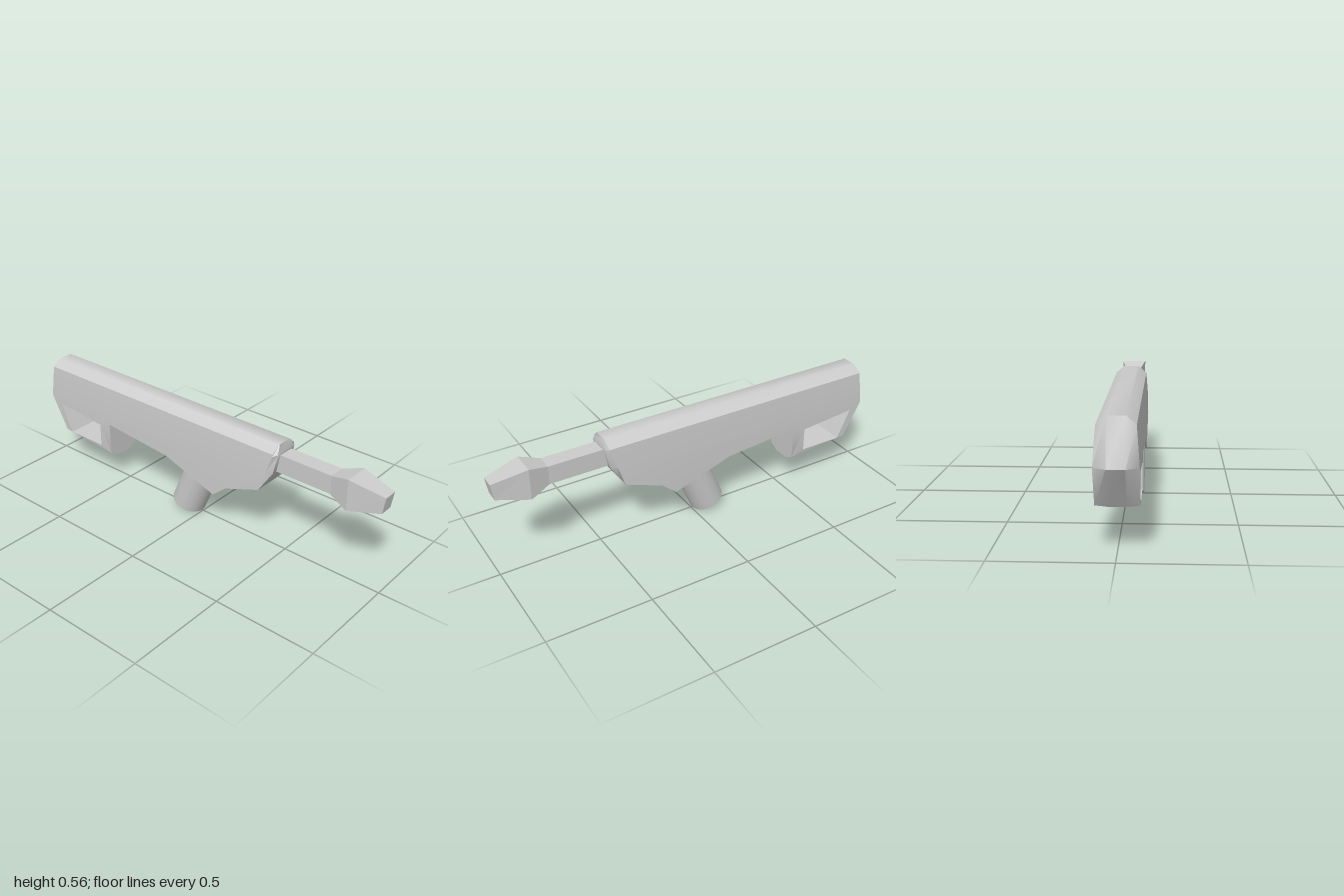
import * as THREE from 'three';
import { toCreasedNormals } from 'three/addons/utils/BufferGeometryUtils.js';

// Body outline: [z, y, half width] of the raised middle, then of the outer edge
const OUTLINE = [
  [0.467, 0.56, 0.037, 0.462, 0.525, 0.078],
  [-0.944, 0.56, 0.037, -0.95, 0.525, 0.078],
  [-0.998, 0.364, 0.037, -0.965, 0.364, 0.09],
  [-0.88, 0.187, 0.037, -0.87, 0.19, 0.09],
  [-0.543, 0.136, 0.037, -0.543, 0.16, 0.086],
  [-0.543, 0.329, 0.037, -0.543, 0.329, 0.09],
  [-0.163, 0.294, 0.037, -0.163, 0.294, 0.09],
  [0.136, 0.193, 0.037, 0.136, 0.193, 0.09],
  [0.211, 0.257, 0.037, 0.211, 0.257, 0.09],
  [0.398, 0.326, 0.037, 0.398, 0.326, 0.09],
  [0.457, 0.422, 0.065, 0.43, 0.425, 0.087],
  [0.478, 0.52, 0.06, 0.46, 0.515, 0.079],
];
const OPENING = [[-0.612, 0.305], [-0.9, 0.332], [-0.832, 0.187], [-0.612, 0.187]];

const mat = (flatShading = false) => new THREE.MeshStandardMaterial({ color: 0xcccccc, flatShading });

function addMesh(group, name, geometry, material) {
  const mesh = new THREE.Mesh(geometry, material);
  mesh.name = name;
  group.add(mesh);
  return mesh;
}

// Extruded side outline whose middle and outer layers are moved to form the chamfers
function bodyGeometry() {
  const shape = new THREE.Shape(OUTLINE.map(([z, y]) => new THREE.Vector2(z, y)));
  shape.holes.push(new THREE.Path(OPENING.map(([z, y]) => new THREE.Vector2(z, y))));
  const geo = new THREE.ExtrudeGeometry(shape, { depth: 0.18, steps: 3, bevelEnabled: false });
  geo.translate(0, 0, -0.09).rotateY(-Math.PI / 2);
  const p = geo.attributes.position;
  for (let i = 0; i < p.count; i++) {
    const x = p.getX(i), y = p.getY(i), z = p.getZ(i);
    const row = OUTLINE.find((r) => Math.hypot(r[0] - z, r[1] - y) < 1e-3);
    if (!row) continue;
    const [nz, ny, nx] = Math.abs(x) > 0.06 ? row.slice(3) : row;
    p.setXYZ(i, Math.sign(x) * nx, ny, nz);
  }
  return toCreasedNormals(geo, 0.75);
}

// Square barrel swelling into a tapered muzzle; rings of [z, half width, bottom, top]
function barrelGeometry() {
  const rings = [
    [0.42, 0.04, 0.422, 0.512],
    [0.74, 0.04, 0.422, 0.512],
    [0.835, 0.062, 0.388, 0.54],
    [1.0, 0.034, 0.424, 0.504],
  ];
  const geo = new THREE.BoxGeometry(1, 1, 1, 1, 1, rings.length - 1);
  const p = geo.attributes.position;
  for (let i = 0; i < p.count; i++) {
    const [z, w, bottom, top] = rings[Math.round((p.getZ(i) + 0.5) * (rings.length - 1))];
    const low = p.getY(i) < 0;
    p.setXYZ(i, Math.sign(p.getX(i)) * w, low ? bottom : top, z === 1 && low ? 0.988 : z);
  }
  geo.computeVertexNormals();
  return geo;
}

export function createModel() {
  const model = new THREE.Group();
  model.name = 'toyBlaster';

  addMesh(model, 'body', bodyGeometry(), mat());
  addMesh(model, 'barrel', barrelGeometry(), mat(true));

  // Round grip leaning forward into the underside
  const lean = Math.atan2(0.065, 0.155);
  const length = 0.28;
  const grip = addMesh(model, 'grip', new THREE.CylinderGeometry(0.085, 0.085, length, 32), mat());
  grip.rotation.x = lean;
  grip.position.set(0, 0.034 + Math.cos(lean) * length / 2, -0.085 + Math.sin(lean) * length / 2);

  return model;
}
